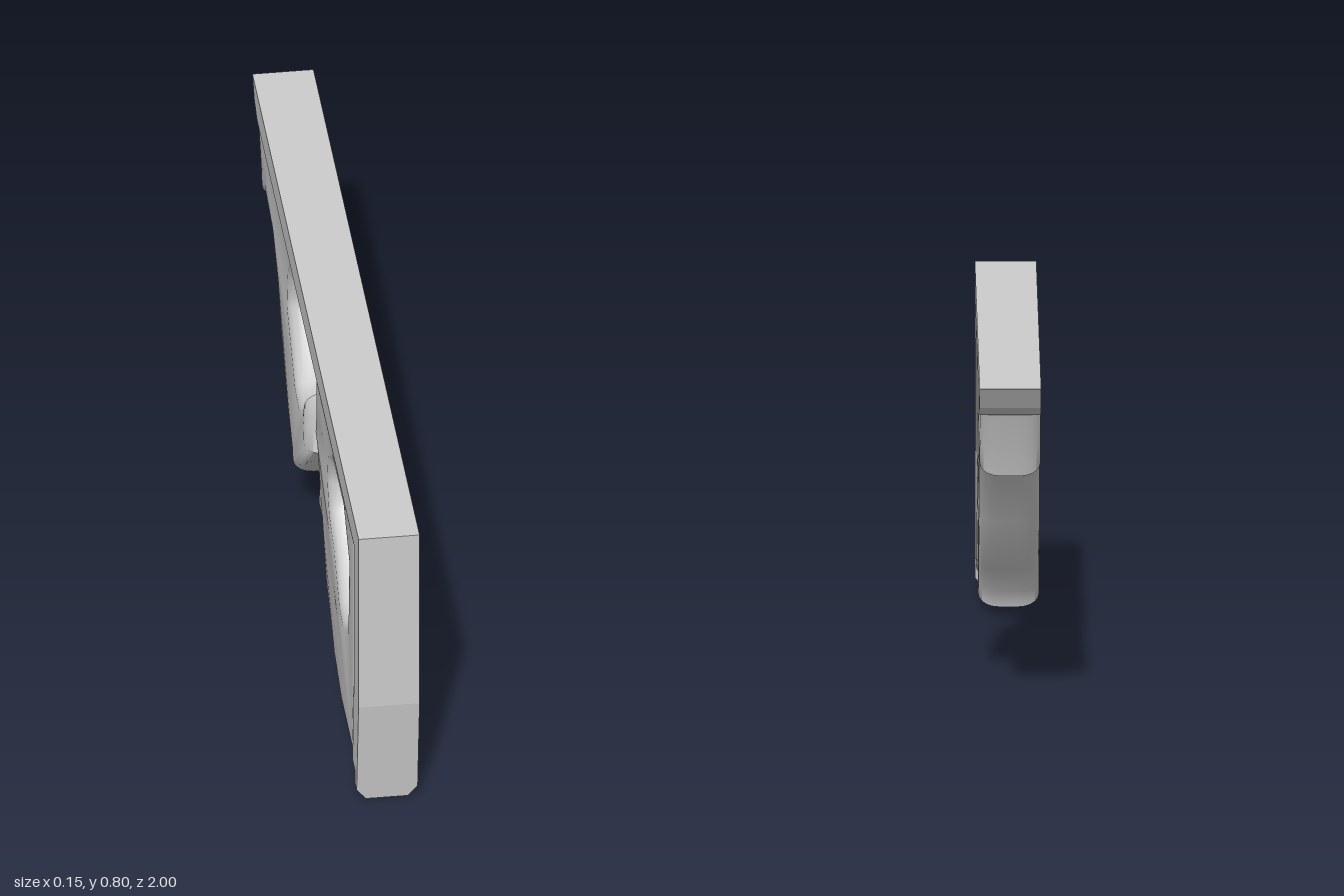
import * as THREE from 'three';
import { toCreasedNormals } from 'three/addons/utils/BufferGeometryUtils.js';

const material = new THREE.MeshStandardMaterial({ color: 0xcccccc, side: THREE.DoubleSide });
const toPoints = (list) => list.map(([z, y]) => new THREE.Vector2(z, y));

// Extrudes a side profile of [z, y] corners across x; a round above 0 softens its rims.
function slab(name, outline, half, { holes = [], round = 0, depth = 0 } = {}) {
  const shape = new THREE.Shape(toPoints(outline));
  holes.forEach((hole) => shape.holes.push(new THREE.Path(toPoints(hole))));
  let geometry = new THREE.ExtrudeGeometry(shape, {
    depth: 2 * (half - depth),
    bevelEnabled: round > 0,
    bevelSize: round,
    bevelOffset: -round,
    bevelThickness: depth,
    bevelSegments: 5,
    curveSegments: 8,
  });
  geometry.translate(0, 0, depth - half);
  geometry.rotateY(-Math.PI / 2);
  if (round > 0) geometry = toCreasedNormals(geometry, 0.95);
  const mesh = new THREE.Mesh(geometry, material);
  mesh.name = name;
  return mesh;
}

export function createModel() {
  const group = new THREE.Group();
  group.name = 'bracket';
  const W = 0.075;

  // Top rail and front post in one angled frame
  group.add(slab('frame', [
    [1, 0.8], [1, 0.3], [0.964, 0.03], [0.934, 0.03], [0.928, 0.067],
    [0.885, 0.067], [0.913, 0.31], [0.913, 0.723], [-0.917, 0.723],
    [-0.965, 0.748], [-1, 0.8],
  ], W));

  // Chamfered tip under the post
  const foot = slab('foot', [[0.964, 0.03], [0.96, 0], [0.938, 0], [0.934, 0.03]], W);
  const pos = foot.geometry.attributes.position;
  for (let i = 0; i < pos.count; i++) {
    if (pos.getY(i) < 0.01) pos.setX(i, pos.getX(i) * 0.69);
  }
  foot.geometry.computeVertexNormals();
  group.add(foot);

  const soft = { round: 0.03, depth: 0.05 };

  // Front web with its closed opening
  group.add(slab('frontWeb', [
    [0.925, 0.745], [0.925, 0.31], [0.893, 0.07], [0.66, 0.07], [0.52, 0.115],
    [0.36, 0.235], [0.29, 0.362], [0.207, 0.365], [0.235, 0.45], [0.197, 0.515],
    [0.15, 0.54], [0.17, 0.62], [0.172, 0.745],
  ], W - 0.001, {
    ...soft,
    holes: [[
      [0.70, 0.675], [0.505, 0.675], [0.445, 0.63], [0.434, 0.57], [0.46, 0.51],
      [0.55, 0.465], [0.643, 0.373], [0.697, 0.362], [0.767, 0.394],
      [0.783, 0.475], [0.788, 0.598],
    ]],
  }));

  // Rear web, a slanted arm that rises to the rail
  group.add(slab('rearWeb', [
    [-0.19, 0.745], [-0.275, 0.705], [-0.316, 0.646], [-0.327, 0.566],
    [-0.194, 0.443], [-0.13, 0.434], [-0.075, 0.458], [-0.03, 0.52],
    [-0.01, 0.46], [-0.02, 0.42], [-0.005, 0.355], [-0.23, 0.147],
    [-0.268, 0.147], [-0.28, 0.187], [-0.36, 0.25], [-0.49, 0.39],
    [-0.55, 0.5], [-0.64, 0.57], [-0.77, 0.592], [-0.815, 0.56],
    [-0.852, 0.562], [-0.872, 0.63], [-0.92, 0.745],
  ], W - 0.001, soft));

  // Slim bridge joining both webs
  group.add(slab('bridge', [
    [0.24, 0.512], [0.03, 0.517], [-0.005, 0.475], [-0.02, 0.4], [-0.09, 0.4],
    [-0.085, 0.452], [-0.02, 0.528], [0.01, 0.55], [0.113, 0.56], [0.17, 0.62],
    [0.24, 0.62],
  ], 0.045, { round: 0.014, depth: 0.022 }));

  // Curved hook hanging from the rail
  const outer = new THREE.CatmullRomCurve3([
    [0.145, 0.735], [0.122, 0.685], [0.1, 0.625], [0.053, 0.565],
  ].map(([z, y]) => new THREE.Vector3(z, y, 0)));
  const inner = new THREE.CatmullRomCurve3([
    [0.057, 0.572], [0.073, 0.625], [0.062, 0.68], [-0.005, 0.735],
  ].map(([z, y]) => new THREE.Vector3(z, y, 0)));
  group.add(slab('hook', [...outer.getPoints(8), ...inner.getPoints(8)].map((p) => [p.x, p.y]), 0.03));

  return group;
}
